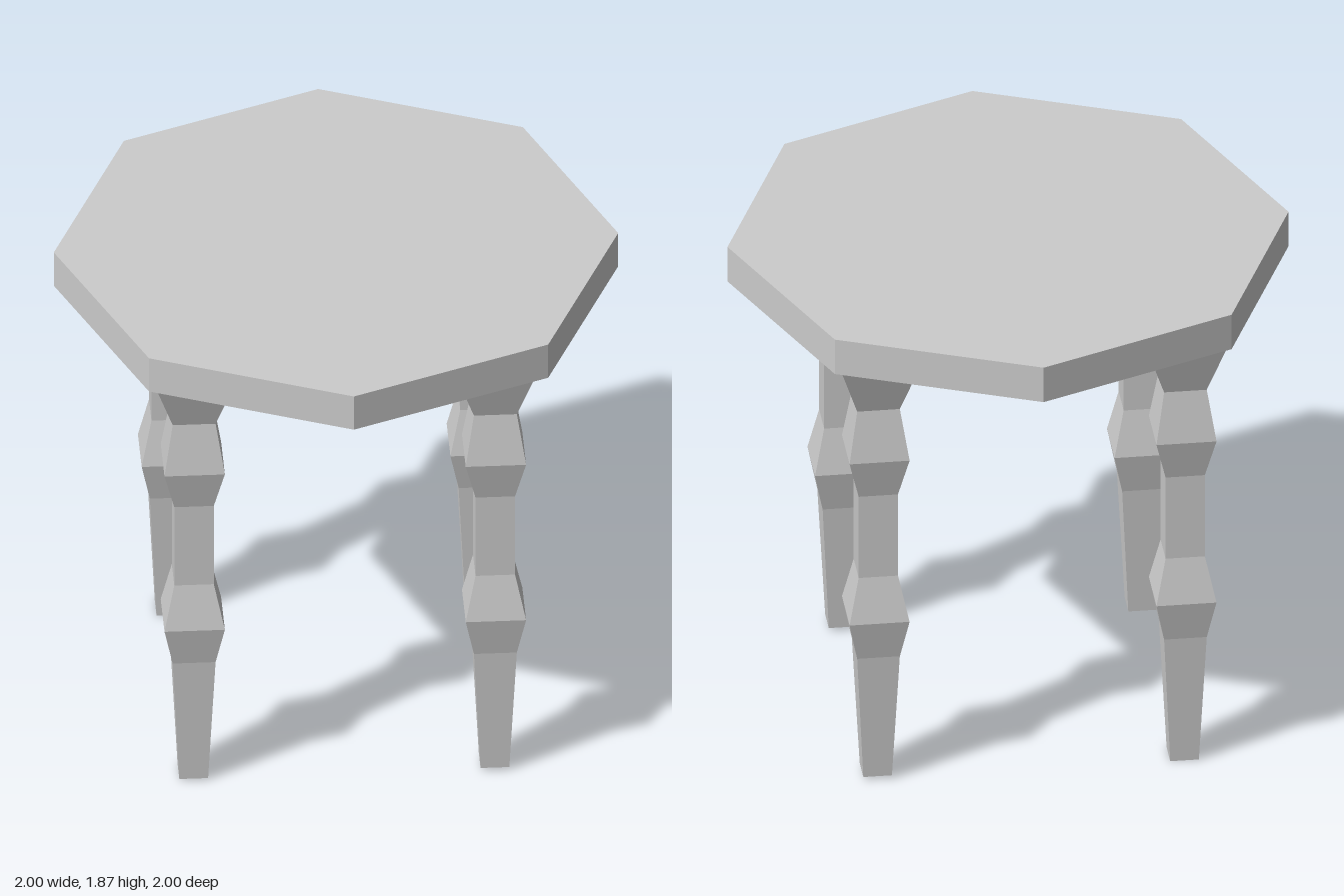
import * as THREE from 'three';

// Leg profile from floor to seat: [half width, height]
const PROFILE = [
  [0.051, 0], [0.076, 0.51], [0.107, 0.665], [0.07, 0.835],
  [0.07, 1.165], [0.076, 1.515], [0.107, 1.32], [0.145, 1.73],
].sort((a, b) => a[1] - b[1]);

// Leg placement: name, x, z, height of the foot
const LEGS = [
  ['frontLeftLeg', 0.526, 0.537, 0.012],
  ['frontRightLeg', -0.541, 0.532, 0.006],
  ['backLeftLeg', 0.54, -0.541, 0.014],
  ['backRightLeg', -0.554, -0.541, 0],
];

const material = new THREE.MeshStandardMaterial({ color: 0xcccccc, flatShading: true });

// Square turned leg: a four-sided lathe, closed at the foot and the top
function makeLeg(name, x, z, foot) {
  const points = PROFILE.map(([half, y], i) =>
    new THREE.Vector2(half * Math.SQRT2, i === 0 ? foot : y));
  points.unshift(new THREE.Vector2(0, foot));
  points.push(new THREE.Vector2(0, 1.73));
  const leg = new THREE.Mesh(new THREE.LatheGeometry(points, 4, Math.PI / 4), material);
  leg.name = name;
  leg.position.set(x, 0, z);
  return leg;
}

export function createModel() {
  const group = new THREE.Group();
  group.name = 'stool';

  // Octagonal seat with corners on the axes
  const seat = new THREE.Mesh(new THREE.CylinderGeometry(1, 1, 0.14, 8), material);
  seat.name = 'seat';
  seat.position.y = 1.795;
  group.add(seat);

  for (const leg of LEGS) group.add(makeLeg(...leg));
  return group;
}
